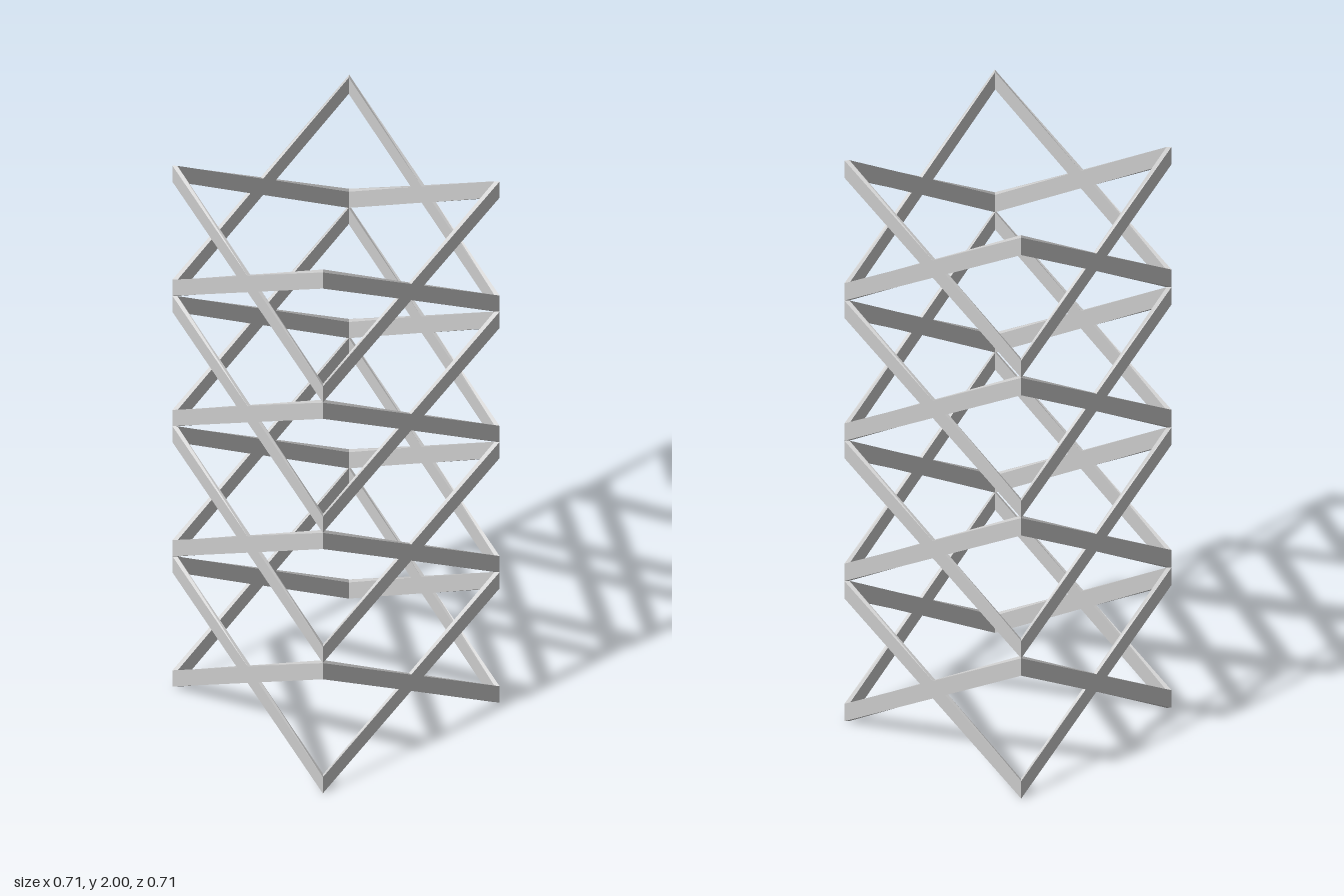
import * as THREE from 'three';

const HALF = 0.355;   // half width of the tower
const DEPTH = 0.011;  // thickness of the flat bars
const TIER = 0.5;     // height of one tier
const CUT = 0.062;    // height of a bar's upright end

// One crossed pair of flat bars, mitred at the corners
function crossGeometry() {
  const mid = TIER / 2;
  const slope = (TIER - CUT) / (2 * HALF);
  const side = HALF - (mid - CUT) / slope;
  const outline = [
    [-HALF, 0], [0, mid - CUT / 2], [HALF, 0], [HALF, CUT],
    [side, mid], [HALF, TIER - CUT], [HALF, TIER], [0, mid + CUT / 2],
    [-HALF, TIER], [-HALF, TIER - CUT], [-side, mid], [-HALF, CUT],
  ].map(([x, y]) => new THREE.Vector2(x, y));
  const geometry = new THREE.ExtrudeGeometry(new THREE.Shape(outline), {
    depth: DEPTH, bevelEnabled: false,
  });

  // Pull the inner end corners in so neighbouring panels meet at 45 degrees
  const p = geometry.attributes.position;
  for (let i = 0; i < p.count; i++) {
    if (Math.abs(p.getX(i)) > HALF - 1e-4 && p.getZ(i) < 1e-4) {
      p.setX(i, Math.sign(p.getX(i)) * (HALF - DEPTH));
    }
  }
  geometry.translate(0, 0, HALF - DEPTH);
  geometry.computeVertexNormals();
  return geometry;
}

export function createModel() {
  const model = new THREE.Group();
  model.name = 'latticeTower';
  const material = new THREE.MeshStandardMaterial({ color: 0xcccccc, flatShading: true });
  const geometry = crossGeometry();

  // Four tiers, each with a cross on all four sides
  const sides = ['front', 'left', 'back', 'right'];
  for (let level = 0; level < 4; level++) {
    const tier = new THREE.Group();
    tier.name = `tier${level + 1}`;
    tier.position.y = level * TIER;
    sides.forEach((side, i) => {
      const cross = new THREE.Mesh(geometry, material);
      cross.name = `${side}CrossBrace`;
      cross.rotation.y = i * Math.PI / 2;
      tier.add(cross);
    });
    model.add(tier);
  }
  return model;
}
